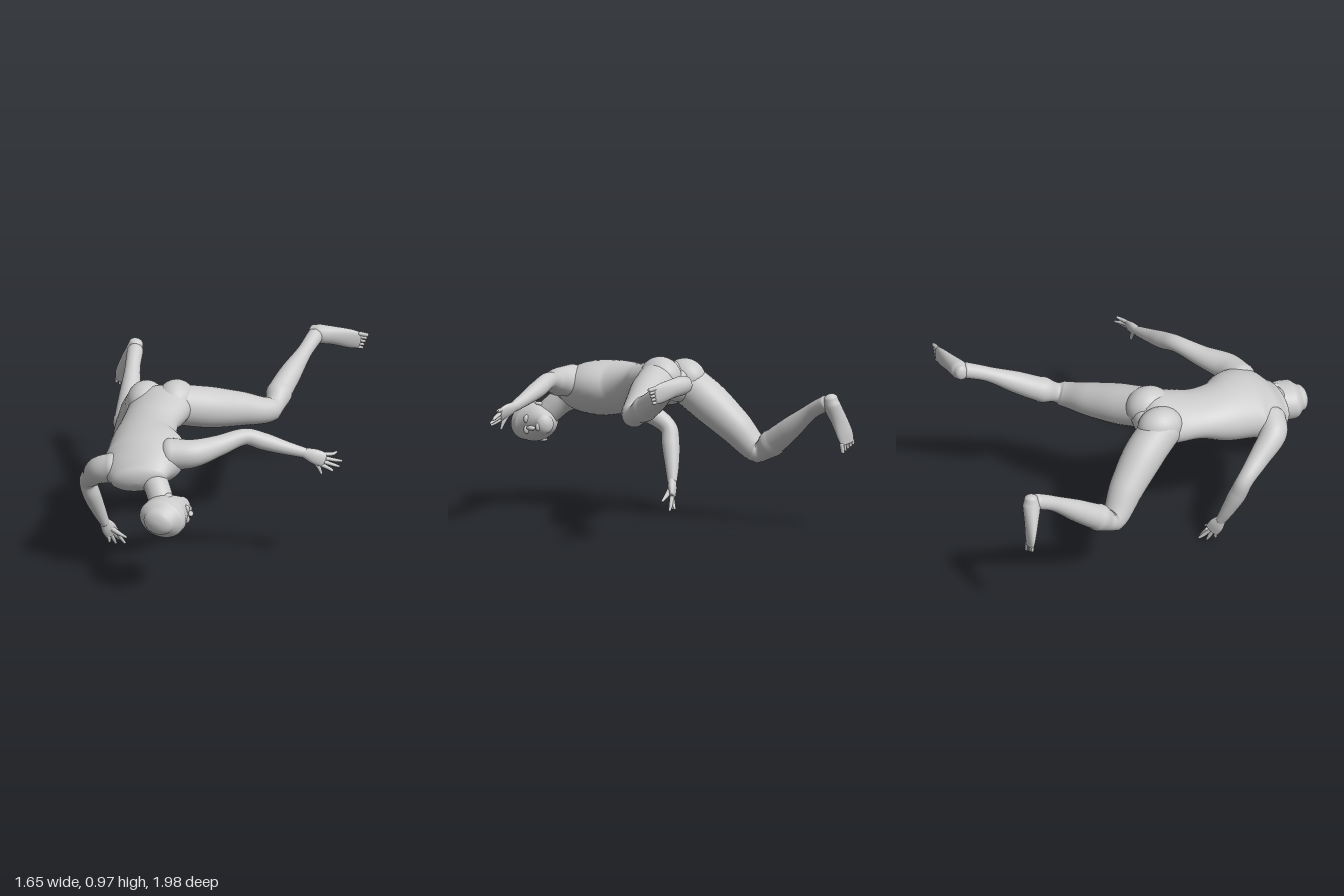
import * as THREE from 'three';

const material = new THREE.MeshStandardMaterial({ color: 0xcccccc, roughness: 0.8 });
const V = (p) => new THREE.Vector3(p[0], p[1], p[2]);

// Smooth closed loft through sections [x, y, z, halfWidth, halfHeight = halfWidth].
// "side" is the direction of the half width; both ends get rounded caps.
function loft(sections, side, { steps = 8, seg = 28, cap = 0.7 } = {}) {
  const path = new THREE.CatmullRomCurve3(sections.map(V));
  const size = new THREE.CatmullRomCurve3(sections.map((s) => new THREE.Vector3(s[3], s[4] ?? s[3], 0)));
  const n = (sections.length - 1) * steps;
  const rings = [];
  const addRing = (u, shift, scale) => {
    const t = path.getTangent(u);
    const s = V(side).addScaledVector(t, -V(side).dot(t)).normalize();
    const up = t.clone().cross(s);
    const r = size.getPoint(u);
    const c = path.getPoint(u).addScaledVector(t, shift * Math.min(r.x, r.y) * cap);
    rings.push({ c, s: s.multiplyScalar(r.x * scale), up: up.multiplyScalar(r.y * scale) });
  };
  const K = 6;
  const angle = (k) => (k / K) * Math.PI / 2;
  for (let k = K; k > 0; k--) addRing(0, -Math.sin(angle(k)), Math.max(Math.cos(angle(k)), 1e-3));
  for (let i = 0; i <= n; i++) addRing(i / n, 0, 1);
  for (let k = 1; k <= K; k++) addRing(1, Math.sin(angle(k)), Math.max(Math.cos(angle(k)), 1e-3));

  const pos = [], idx = [];
  rings.forEach(({ c, s, up }, i) => {
    for (let j = 0; j < seg; j++) {
      const a = (j / seg) * Math.PI * 2;
      const p = c.clone().addScaledVector(s, Math.cos(a)).addScaledVector(up, Math.sin(a));
      pos.push(p.x, p.y, p.z);
      if (i === rings.length - 1) continue;
      const A = i * seg + j, B = i * seg + ((j + 1) % seg);
      idx.push(A, B, A + seg, B, B + seg, A + seg);
    }
  });
  const g = new THREE.BufferGeometry();
  g.setAttribute('position', new THREE.Float32BufferAttribute(pos, 3));
  g.setIndex(idx);
  g.computeVertexNormals();
  return g;
}

export function createModel() {
  const model = new THREE.Group();
  model.name = 'lyingFigure';
  const add = (name, geometry, parent = model) => {
    const m = new THREE.Mesh(geometry, material);
    m.name = name;
    parent.add(m);
    return m;
  };
  const blob = (name, p, r, rot = [0, 0, 0]) => {
    const m = add(name, new THREE.SphereGeometry(1, 24, 16));
    m.position.set(...p);
    m.scale.set(...r);
    m.rotation.set(...rot);
  };

  // Torso, from the crotch to the base of the neck
  add('torso', loft([
    [-0.28, 0.765, -0.08, 0.14, 0.09],
    [-0.275, 0.775, 0, 0.185, 0.125],
    [-0.28, 0.765, 0.1, 0.178, 0.112],
    [-0.285, 0.752, 0.2, 0.166, 0.106],
    [-0.265, 0.71, 0.38, 0.192, 0.145],
    [-0.215, 0.685, 0.54, 0.235, 0.152],
    [-0.21, 0.655, 0.65, 0.215, 0.122],
    [-0.2, 0.635, 0.72, 0.165, 0.08],
  ], [0.97, 0.2, -0.08], { seg: 40 }));
  blob('rightButtock', [-0.375, 0.795, -0.03], [0.105, 0.11, 0.13]);
  blob('leftButtock', [-0.2, 0.815, -0.03], [0.11, 0.115, 0.13]);

  // Neck and head, turned to the figure's left
  add('neck', loft([
    [-0.16, 0.65, 0.64, 0.09, 0.075], [-0.1, 0.605, 0.72, 0.072], [-0.04, 0.52, 0.8, 0.07],
  ], [1, 0, 0]));
  add('head', loft([
    [-0.02, 0.48, 0.95, 0.088, 0.073],
    [-0.017, 0.48, 0.9, 0.131, 0.108],
    [-0.008, 0.482, 0.84, 0.13, 0.109],
    [0.018, 0.485, 0.77, 0.094, 0.09],
    [0.045, 0.488, 0.7, 0.052, 0.056],
  ], [1, -0.2, 0], { seg: 36, cap: 0.6 }));
  blob('nose', [0.106, 0.465, 0.745], [0.016, 0.014, 0.028], [0, 0.3, 0]);
  blob('lips', [0.09, 0.475, 0.705], [0.013, 0.024, 0.012]);
  for (const y of [0.45, 0.51]) blob('brow', [0.098, y, 0.795], [0.018, 0.024, 0.013]);
  blob('upperEar', [-0.005, 0.585, 0.81], [0.022, 0.012, 0.034]);
  blob('lowerEar', [-0.03, 0.382, 0.81], [0.022, 0.012, 0.034]);

  // Arms
  add('leftArm', loft([
    [-0.06, 0.74, 0.58, 0.09], [0.06, 0.745, 0.55, 0.08], [0.18, 0.765, 0.45, 0.06],
    [0.31, 0.795, 0.345, 0.047], [0.4, 0.765, 0.31, 0.049], [0.52, 0.725, 0.275, 0.039],
    [0.62, 0.695, 0.245, 0.03, 0.026],
  ], [0, 1, 0]));
  add('rightArm', loft([
    [-0.36, 0.65, 0.64, 0.085], [-0.45, 0.62, 0.62, 0.078], [-0.53, 0.53, 0.5, 0.06],
    [-0.59, 0.445, 0.39, 0.048], [-0.578, 0.36, 0.355, 0.05], [-0.548, 0.24, 0.305, 0.039],
    [-0.525, 0.165, 0.275, 0.027, 0.03],
  ], [1, 0, 0]));

  // Hands: a flat palm, four curled fingers and a thumb
  const hand = (name, wrist, palm, side, thumb, tips) => {
    const g = new THREE.Group();
    g.name = name;
    model.add(g);
    const w = V(wrist), p = V(palm), s = V(side).normalize();
    const mid = w.clone().lerp(p, 0.55);
    add('palm', loft([
      [...wrist, 0.029, 0.024], [...mid.toArray(), 0.043, 0.024], [...palm, 0.042, 0.017],
    ], side), g);
    tips.forEach((tip, i) => {
      const root = p.clone().addScaledVector(s, (1.5 - i) * 0.021);
      const bend = root.clone().lerp(V(tip), 0.5).addScaledVector(p.clone().sub(w).normalize(), 0.012);
      add('finger', loft([
        [...root.toArray(), 0.012], [...bend.toArray(), 0.0105], [...tip, 0.007],
      ], side, { steps: 5, seg: 10 }), g);
    });
    const base = w.clone().lerp(p, 0.3);
    const joint = base.clone().lerp(V(thumb), 0.55).addScaledVector(p.clone().sub(w), 0.08);
    add('thumb', loft([
      [...base.toArray(), 0.018], [...joint.toArray(), 0.013], [...thumb, 0.007],
    ], [0.3, 0.3, 1], { steps: 5, seg: 10 }), g);
  };
  hand('leftHand', [0.62, 0.695, 0.245], [0.73, 0.66, 0.232], [0.2, 1, -0.35], [0.72, 0.578, 0.24],
    [[0.79, 0.695, 0.185], [0.82, 0.645, 0.185], [0.815, 0.622, 0.215], [0.785, 0.605, 0.245]]);
  hand('rightHand', [-0.525, 0.165, 0.275], [-0.495, 0.088, 0.235], [0.6, -0.1, -0.6], [-0.415, 0.066, 0.225],
    [[-0.435, 0.016, 0.185], [-0.46, 0.026, 0.17], [-0.48, 0.02, 0.21], [-0.505, 0.04, 0.25]]);

  // Legs, from hip through knee to ankle
  add('leftLeg', loft([
    [-0.18, 0.79, -0.03, 0.115], [-0.06, 0.755, -0.12, 0.116], [0.1, 0.715, -0.245, 0.098],
    [0.255, 0.685, -0.365, 0.069], [0.27, 0.745, -0.5, 0.069], [0.295, 0.805, -0.62, 0.062],
    [0.335, 0.885, -0.79, 0.042], [0.355, 0.925, -0.9, 0.045],
  ], [0, 1, 0]));
  add('rightLeg', loft([
    [-0.375, 0.775, -0.02, 0.113], [-0.43, 0.685, -0.14, 0.115], [-0.52, 0.54, -0.29, 0.098],
    [-0.602, 0.41, -0.41, 0.072], [-0.622, 0.475, -0.52, 0.072], [-0.64, 0.56, -0.64, 0.063],
    [-0.67, 0.675, -0.8, 0.043], [-0.685, 0.725, -0.9, 0.045],
  ], [1, 0, 0]));

  // Feet: heel to ball, then a row of toes
  const foot = (name, side, sections, toeDir) => {
    const g = new THREE.Group();
    g.name = name;
    model.add(g);
    add('sole', loft(sections, side), g);
    const end = V(sections[sections.length - 1]), d = V(toeDir), s = V(side).normalize();
    for (let i = 0; i < 5; i++) {
      const r = i === 0 ? 0.013 : 0.0095;
      const a = end.clone().addScaledVector(s, (2 - i) * 0.02);
      const b = a.clone().addScaledVector(d, 0.042 - i * 0.005);
      add('toe', loft([[...a.toArray(), r], [...b.toArray(), r * 0.85]], side, { seg: 10 }), g);
    }
  };
  foot('leftFoot', [0.1, 1, 0], [
    [0.335, 0.932, -0.935, 0.045, 0.038], [0.37, 0.928, -0.935, 0.054, 0.05],
    [0.45, 0.92, -0.95, 0.053, 0.038], [0.54, 0.905, -0.967, 0.056, 0.024],
    [0.59, 0.897, -0.975, 0.05, 0.015],
  ], [1, -0.12, -0.1]);
  foot('rightFoot', [1, -0.25, 0], [
    [-0.69, 0.755, -0.935, 0.04, 0.038], [-0.7, 0.715, -0.935, 0.047, 0.05],
    [-0.735, 0.635, -0.95, 0.05, 0.038], [-0.765, 0.55, -0.967, 0.054, 0.024],
    [-0.775, 0.505, -0.975, 0.047, 0.015],
  ], [-0.1, -1, -0.1]);

  return model;
}
